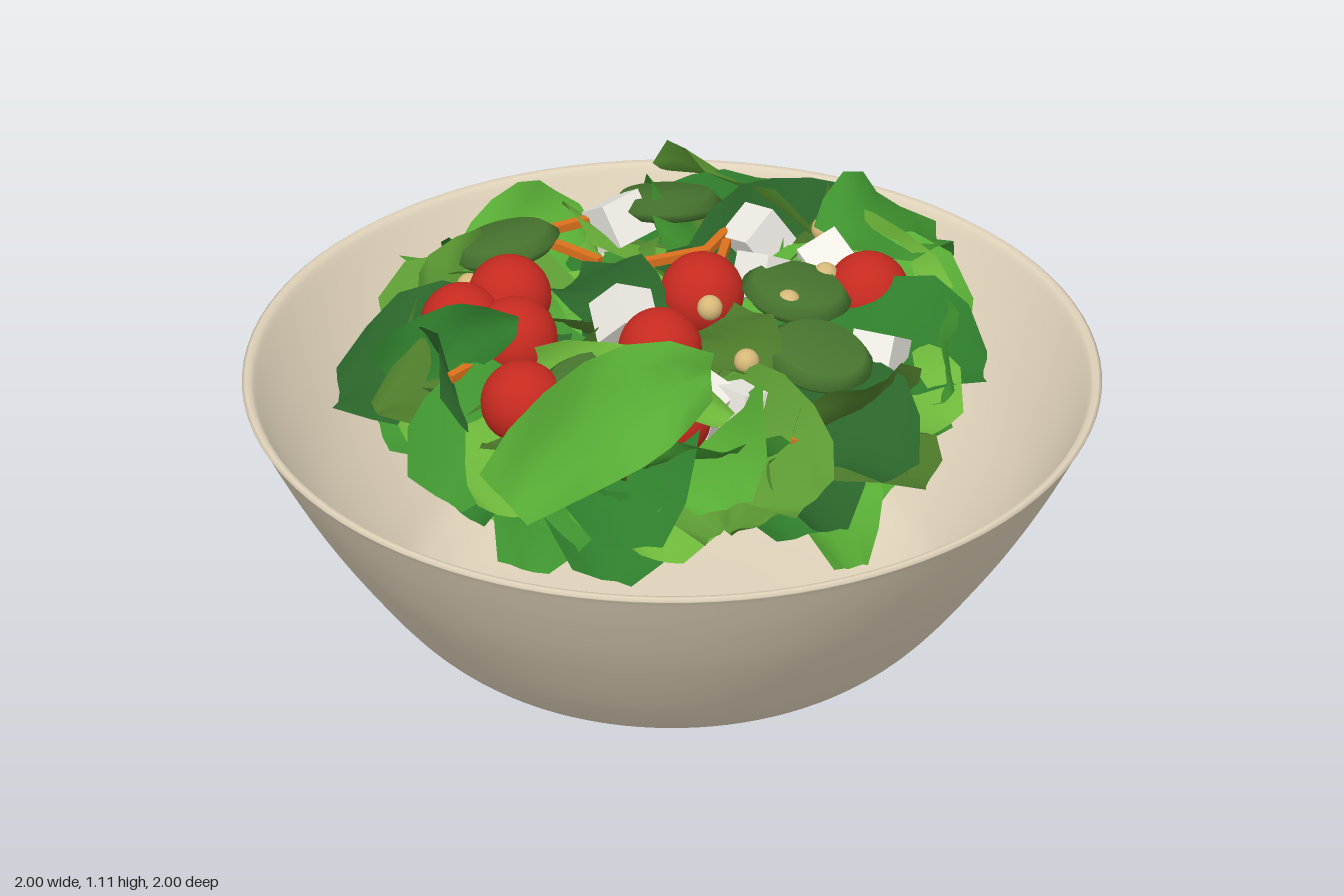
import * as THREE from 'three';

const V = (x, y, z) => new THREE.Vector3(x, y, z);
const material = (color, side = THREE.FrontSide) => new THREE.MeshStandardMaterial({ color, side });
const profile = points => points.map(([r, y]) => new THREE.Vector2(r, y));

let seed = 7;
const rand = (a = 0, b = 1) => {
  seed = (seed * 16807) % 2147483647;
  return a + (b - a) * (seed / 2147483647);
};

// Point at an angle and radius around the bowl's axis
const polar = (angle, r, y) => V(Math.cos(angle) * r, y, Math.sin(angle) * r);

// Height of the domed top of the salad
const mound = (x, z) => 0.9 - 0.25 * (x * x + z * z);

// Leaf blade swept from base to blunt tip: arched, folded on its midrib, rolled and ruffled
function leafGeometry(base, tip, width, arch, roll) {
  const mid = base.clone().lerp(tip, 0.55);
  mid.y += arch * 2;
  const curve = new THREE.QuadraticBezierCurve3(base, mid, tip);
  const geometry = new THREE.PlaneGeometry(1, 1, 4, 6);
  const pos = geometry.attributes.position;
  const phase = rand(0, 6);
  for (let i = 0; i < pos.count; i++) {
    const s = pos.getX(i) * 2, t = 0.5 - pos.getY(i);
    const tangent = curve.getTangent(t);
    const side = V(-tangent.z, 0, tangent.x).normalize().applyAxisAngle(tangent, roll);
    const normal = side.clone().cross(tangent);
    const half = width * 0.5 * (0.15 + 0.85 * Math.sin(Math.PI * (0.1 + t * 0.86)) ** 0.6);
    const lift = Math.abs(s) * half * 0.25 + s * s * 0.03 * Math.sin(t * 9 + phase + s * 2);
    const p = curve.getPoint(t).addScaledVector(side, s * half).addScaledVector(normal, lift);
    pos.setXYZ(i, p.x, p.y, p.z);
  }
  geometry.computeVertexNormals();
  return geometry;
}

export function createModel() {
  const salad = new THREE.Group();
  salad.name = 'saladBowl';
  const add = (name, geometry, mat, position = V(0, 0, 0)) => {
    const mesh = new THREE.Mesh(geometry, mat);
    mesh.name = name;
    mesh.position.copy(position);
    salad.add(mesh);
    return mesh;
  };

  // Bowl: full curved wall, thin rounded rim, hollow inside
  const clay = material(0xdfd2ba);
  const spline = points => new THREE.SplineCurve(profile(points)).getPoints(40);
  const outer = spline([[0.41, 0.04], [0.5, 0.055], [0.59, 0.105], [0.69, 0.205], [0.83, 0.395], [0.925, 0.55], [0.995, 0.682]]);
  const inner = spline([[0.972, 0.682], [0.9, 0.55], [0.803, 0.395], [0.665, 0.22], [0.57, 0.13], [0.42, 0.085], [0, 0.08]]);
  const rim = profile([[1, 0.688], [0.992, 0.695], [0.98, 0.693]]);
  add('bowl', new THREE.LatheGeometry([...outer, ...rim, ...inner], 96), clay);

  // Foot ring with a recessed base
  const foot = profile([[0, 0.025], [0.345, 0.025], [0.355, 0.003], [0.36, 0], [0.405, 0], [0.41, 0.005], [0.41, 0.045]]);
  add('footRing', new THREE.LatheGeometry(foot, 64), clay);

  // Leaves cycle through the greens
  const greens = [0x58ad35, 0x2f7d2c, 0x6db63a, 0x3f932f, 0x4c7a2a, 0x2a652a, 0x5c9a33]
    .map(color => material(color, THREE.DoubleSide));
  let count = 0;
  const leaf = (name, base, tip, width, arch, roll) =>
    add(name, leafGeometry(base, tip, width, arch, roll), greens[count++ % greens.length]);

  // Loose bed of leaves in three rings that widen upward
  for (let ring = 0; ring < 3; ring++) {
    const n = 8 + ring * 3, y = 0.43 + ring * 0.1;
    for (let i = 0; i < n; i++) {
      const a = (i + rand(0, 0.6)) / n * Math.PI * 2;
      const tip = polar(a, 0.52 + ring * 0.07 + rand(-0.05, 0.05), y + rand(-0.05, 0.05));
      leaf('bedLeaf', polar(a + rand(-0.8, 0.8), 0.2, y + 0.08), tip, rand(0.28, 0.38), rand(0.03, 0.08), rand(-0.8, 0.8));
    }
  }

  // Outer leaves pointing at the bowl wall, reaching further front and back than sideways
  for (let i = 0; i < 19; i++) {
    const a = (i + rand(-0.2, 0.2)) / 19 * Math.PI * 2;
    const reach = rand(0.68, 0.75) + 0.06 * Math.sin(a) ** 2;
    leaf('outerLeaf', polar(a + rand(-0.5, 0.5), 0.28, 0.76), polar(a, reach, rand(0.66, 0.77)),
      rand(0.28, 0.38), rand(0.03, 0.07), rand(-0.7, 0.7));
  }

  // Leaves on edge, lying around the shoulder of the mound
  for (let i = 0; i < 9; i++) {
    const a = i / 9 * Math.PI * 2 + 0.3;
    leaf('edgeLeaf', polar(a, 0.6, 0.77), polar(a + rand(0.5, 0.8), rand(0.56, 0.7), 0.8),
      rand(0.16, 0.22), rand(0.02, 0.04), rand(0.6, 1.1));
  }

  // Small torn leaves spiralling over the top
  for (let i = 0; i < 30; i++) {
    const centre = polar(i * 2.4, 0.58 * Math.sqrt((i + 0.5) / 30), 0);
    centre.y = mound(centre.x, centre.z) - 0.12;
    const reach = polar(rand(0, 6.28), rand(0.12, 0.18), rand(0, 0.04));
    leaf('tornLeaf', centre.clone().sub(reach), centre.clone().add(reach), rand(0.14, 0.24), rand(0, 0.04), rand(-0.9, 0.9));
  }

  // Large leaves standing out of the mound
  leaf('tallLeaf', V(0.18, 0.78, 0.77), V(0.42, 1.01, 0.32), 0.28, 0.06, 1.05);
  leaf('frontLeaf', V(-0.45, 0.75, 0.5), V(-0.1, 0.97, 0.42), 0.16, 0.03, 1.2);
  leaf('crossLeaf', V(-0.1, 0.84, 0.36), V(0.48, 0.92, 0.33), 0.13, 0.06, 0.9);
  leaf('backLeaf', V(0.08, 0.88, -0.48), V(0.12, 0.76, -0.78), 0.3, 0.05, 0.2);
  leaf('middleLeaf', V(0.05, 0.84, -0.02), V(0.38, 0.89, 0.08), 0.2, 0.04, 0.3);
  leaf('middleLeaf', V(-0.3, 0.84, 0.02), V(0.05, 0.86, 0.1), 0.2, 0.05, 0.4);
  leaf('backLeaf', V(-0.05, 0.82, -0.54), V(-0.55, 0.78, -0.58), 0.24, 0.05, 0.6);

  // Toppings rest on the mound at given x, z
  const scatter = (name, geometry, mat, lift, spots) =>
    spots.map(([x, z]) => add(name, geometry, mat, V(x, mound(x, z) + lift, z)));

  scatter('tomato', new THREE.SphereGeometry(0.098, 28, 20), material(0xc62a20), 0.01,
    [[0.25, -0.4], [0.03, -0.07], [0.12, 0.17], [-0.33, 0.2], [-0.35, 0.34], [-0.19, 0.33], [0.3, 0.33], [-0.01, 0.5]]);

  // Cucumber slices: discs with softened edges, tilted outward
  const slice = new THREE.LatheGeometry(profile([[0, -0.025], [0.105, -0.025], [0.13, 0], [0.105, 0.025], [0, 0.03]]), 32);
  scatter('cucumberSlice', slice, material(0x47752f), 0.03,
    [[-0.36, -0.37], [-0.5, 0.03], [0.19, -0.22], [0.4, -0.07], [0.12, 0.4]])
    .forEach(({ rotation, position }) => rotation.set(position.z * 0.6, 0, -position.x * 0.6));

  scatter('cheeseCube', new THREE.BoxGeometry(0.105, 0.105, 0.105), material(0xeeebe4), 0.005,
    [[-0.1, -0.4], [0.1, -0.43], [-0.4, -0.25], [0.07, -0.24], [0.45, -0.22], [-0.04, 0.12], [0.33, 0.24], [0.4, 0.18]])
    .forEach(({ rotation }, i) => rotation.set(0.5 + i * 0.7, i * 1.1, 0.3 + i * 0.5));

  scatter('chickpea', new THREE.SphereGeometry(0.03, 14, 10), material(0xd6b878), 0.04,
    [[0, -0.52], [0.18, -0.33], [0.22, -0.16], [0.12, 0], [0.32, 0.09], [0.12, 0.39], [-0.42, 0.24]]);

  // Carrot sticks: centre and heading
  const stick = new THREE.BoxGeometry(0.23, 0.02, 0.02);
  const orange = material(0xd9701c);
  for (const [x, z, turn] of [[-0.16, -0.36, -1.3], [-0.15, -0.13, 1.1], [-0.03, -0.19, -1], [-0.49, -0.13, 1.2],
    [-0.4, -0.05, 0.1], [-0.2, 0.43, 1.57], [0.5, 0.12, -0.8], [0.53, 0.19, 0.1], [0.4, 0.16, -1]]) {
    add('carrotStick', stick, orange, V(x, mound(x, z) + 0.01, z)).rotation.y = turn;
  }

  return salad;
}
